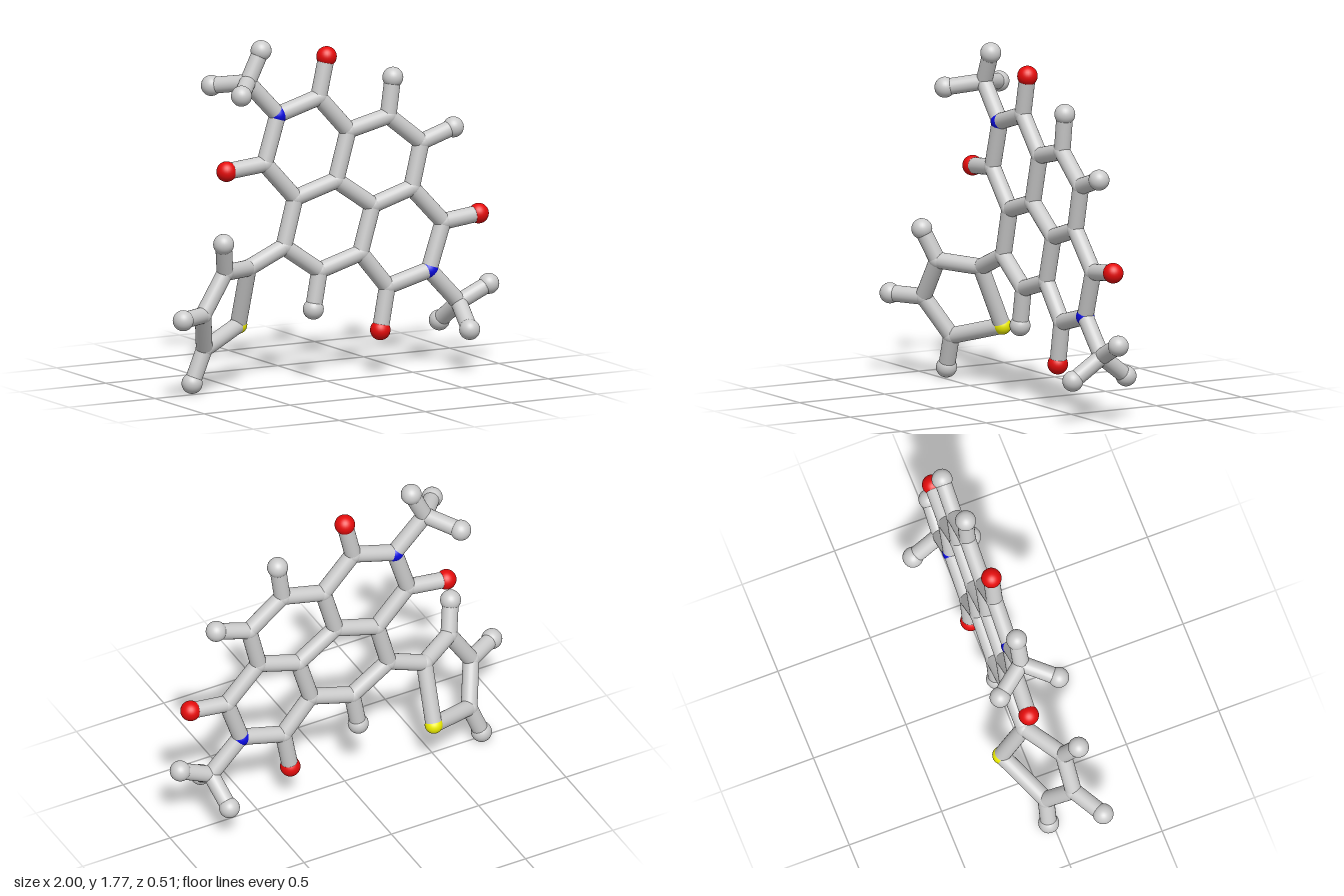
import * as THREE from 'three';

const STICK_RADIUS = 0.042;

// Atom kinds: colour and ball radius
const KINDS = {
  carbon: { color: 0xcccccc, radius: 0.0445 },
  hydrogen: { color: 0xcccccc, radius: 0.053 },
  oxygen: { color: 0xe60c0c, radius: 0.052 },
  nitrogen: { color: 0x0a0ae0, radius: 0.047 },
  sulfur: { color: 0xeeee00, radius: 0.046 },
};

// The flat core leans very slightly in depth
const coreZ = (x) => -0.032 + 0.02 * x;

// name: [kind, x, y, z (core plane if omitted)]
const ATOMS = {
  // upper imide ring
  n1: ['nitrogen', -0.265, 1.385],
  c2: ['carbon', -0.03, 1.455],
  o2: ['oxygen', 0.016, 1.66],
  c10: ['carbon', -0.34, 1.14],
  o10: ['oxygen', -0.555, 1.117, -0.05],
  // fused core
  c3: ['carbon', 0.14, 1.27],
  c4: ['carbon', 0.37, 1.325],
  h4: ['hydrogen', 0.397, 1.52],
  c5: ['carbon', 0.56, 1.175],
  h5: ['hydrogen', 0.745, 1.235],
  c6: ['carbon', 0.505, 0.945],
  c7: ['carbon', 0.28, 0.875],
  c8: ['carbon', 0.07, 1.02],
  c9: ['carbon', -0.165, 0.95],
  c11: ['carbon', -0.23, 0.705],
  c12: ['carbon', -0.025, 0.565],
  h12: ['hydrogen', -0.06, 0.37],
  c13: ['carbon', 0.21, 0.635],
  // lower imide ring
  c14: ['carbon', 0.365, 0.45],
  o14: ['oxygen', 0.325, 0.23],
  n15: ['nitrogen', 0.605, 0.515],
  c16: ['carbon', 0.685, 0.755],
  o16: ['oxygen', 0.89, 0.78],
  // upper methyl
  m1: ['carbon', -0.435, 1.565, -0.045],
  m1a: ['hydrogen', -0.36, 1.722, -0.04],
  m1b: ['hydrogen', -0.56, 1.53, 0.11],
  m1c: ['hydrogen', -0.555, 1.535, -0.205],
  // lower methyl
  m2: ['carbon', 0.775, 0.335, -0.015],
  m2a: ['hydrogen', 0.947, 0.415, -0.01],
  m2b: ['hydrogen', 0.75, 0.22, 0.14],
  m2c: ['hydrogen', 0.752, 0.22, -0.172],
  // twisted five-membered ring
  t2: ['carbon', -0.44, 0.615, -0.03],
  t3: ['carbon', -0.65, 0.63, 0.1],
  t3h: ['hydrogen', -0.695, 0.79, 0.165],
  t4: ['carbon', -0.78, 0.425, 0.105],
  t4h: ['hydrogen', -0.95, 0.427, 0.2],
  t5: ['carbon', -0.705, 0.225, -0.015],
  t5h: ['hydrogen', -0.77, 0.054, -0.025],
  s: ['sulfur', -0.43, 0.305, -0.15],
};

// Chains of bonded atoms
const CHAINS = [
  'n1 c2 c3 c8 c9 c10 n1',
  'c3 c4 c5 c6 c7 c8',
  'c9 c11 c12 c13 c7',
  'c13 c14 n15 c16 c6',
  'c2 o2', 'c10 o10', 'c14 o14', 'c16 o16',
  'c4 h4', 'c5 h5', 'c12 h12',
  'n1 m1 m1a', 'm1b m1 m1c',
  'n15 m2 m2a', 'm2b m2 m2c',
  'c11 t2 t3 t4 t5 s t2',
  't3 t3h', 't4 t4h', 't5 t5h',
];

export function createModel() {
  const model = new THREE.Group();
  model.name = 'molecule';
  const atoms = new THREE.Group();
  atoms.name = 'atoms';
  const bonds = new THREE.Group();
  bonds.name = 'bonds';
  model.add(atoms, bonds);

  // Balls at every atom
  const positions = {};
  const looks = {};
  for (const [kind, { color, radius }] of Object.entries(KINDS)) {
    looks[kind] = {
      geometry: new THREE.SphereGeometry(radius, 28, 18),
      material: new THREE.MeshStandardMaterial({ color }),
    };
  }
  for (const [id, [kind, x, y, z = coreZ(x)]] of Object.entries(ATOMS)) {
    positions[id] = new THREE.Vector3(x, y, z);
    const ball = new THREE.Mesh(looks[kind].geometry, looks[kind].material);
    ball.name = kind + 'Atom';
    ball.position.copy(positions[id]);
    atoms.add(ball);
  }

  // Round sticks between neighbours
  const up = new THREE.Vector3(0, 1, 0);
  const addBond = (a, b) => {
    const along = b.clone().sub(a);
    const stick = new THREE.Mesh(
      new THREE.CylinderGeometry(STICK_RADIUS, STICK_RADIUS, along.length(), 24, 1, true),
      looks.carbon.material,
    );
    stick.name = 'bond';
    stick.position.copy(a).add(b).multiplyScalar(0.5);
    stick.quaternion.setFromUnitVectors(up, along.normalize());
    bonds.add(stick);
  };
  for (const chain of CHAINS) {
    const ids = chain.split(' ');
    for (let i = 1; i < ids.length; i++) addBond(positions[ids[i - 1]], positions[ids[i]]);
  }

  return model;
}
